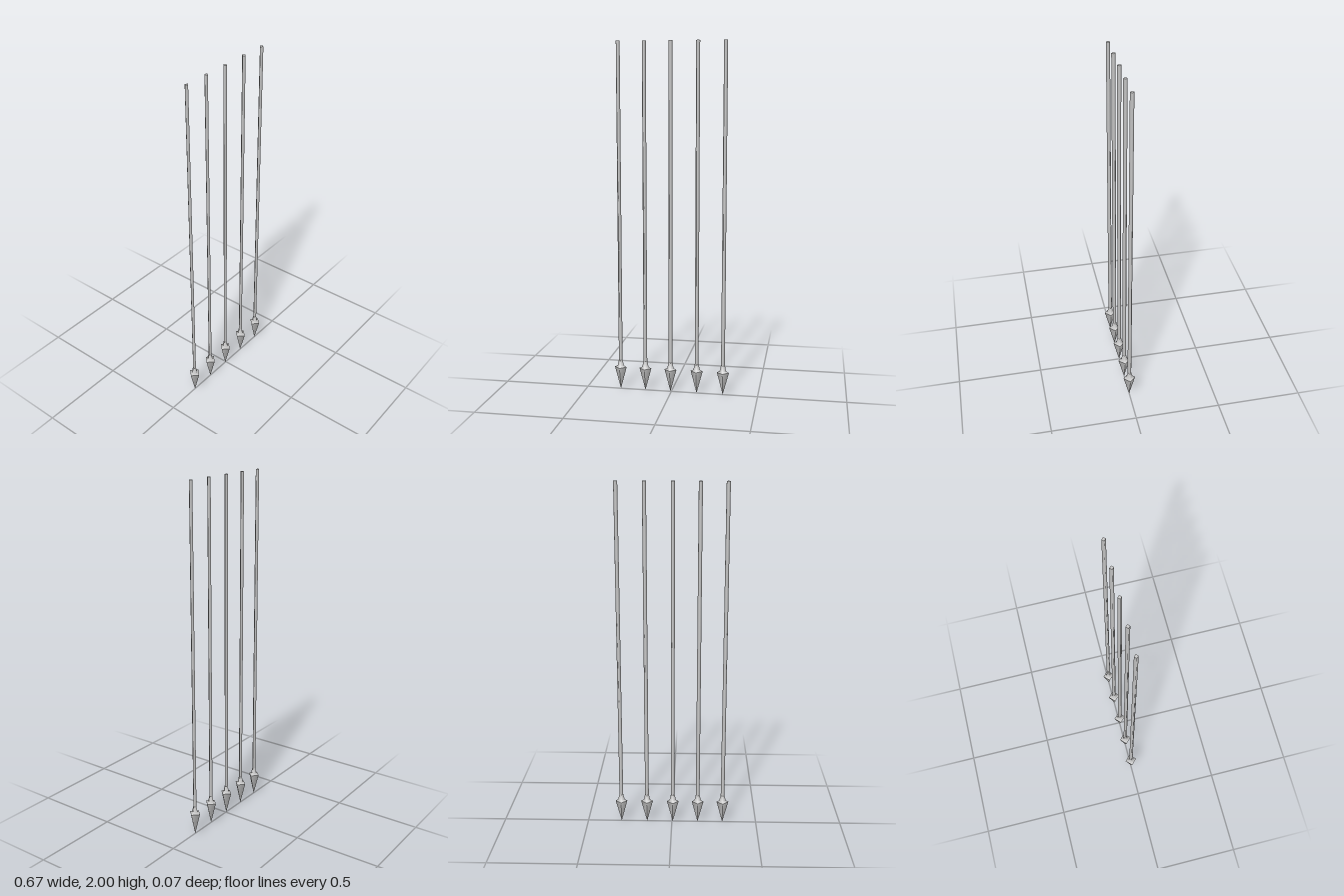
import * as THREE from 'three';

const material = new THREE.MeshStandardMaterial({ color: 0xcccccc });

// Four-sided turned part with corners on the x and z axes
function turned(name, profile) {
  const points = profile.map(([r, y]) => new THREE.Vector2(r, y));
  const mesh = new THREE.Mesh(new THREE.LatheGeometry(points, 4), material);
  mesh.name = name;
  return mesh;
}

function createSpike(x) {
  const spike = new THREE.Group();
  spike.name = 'spike';
  // Pointed blade, shallow shoulder and collar narrowing to the shaft
  spike.add(turned('spikeHead', [[0, 0], [0.035, 0.132]]));
  spike.add(turned('spikeCollar', [[0.035, 0.132], [0.019, 0.14], [0.011, 0.175]]));
  // Long thin shaft
  spike.add(turned('shaft', [[0.011, 0.175], [0.011, 2]]));
  // Flat end of the shaft
  const cap = new THREE.Mesh(new THREE.CircleGeometry(0.011, 4), material);
  cap.name = 'shaftEnd';
  cap.rotation.x = -Math.PI / 2;
  cap.position.y = 2;
  spike.add(cap);
  spike.position.x = x;
  return spike;
}

export function createModel() {
  const model = new THREE.Group();
  model.name = 'spikeRow';
  // Row of five hanging spikes
  for (const x of [-0.3, -0.153, -0.005, 0.148, 0.3]) model.add(createSpike(x));
  return model;
}
